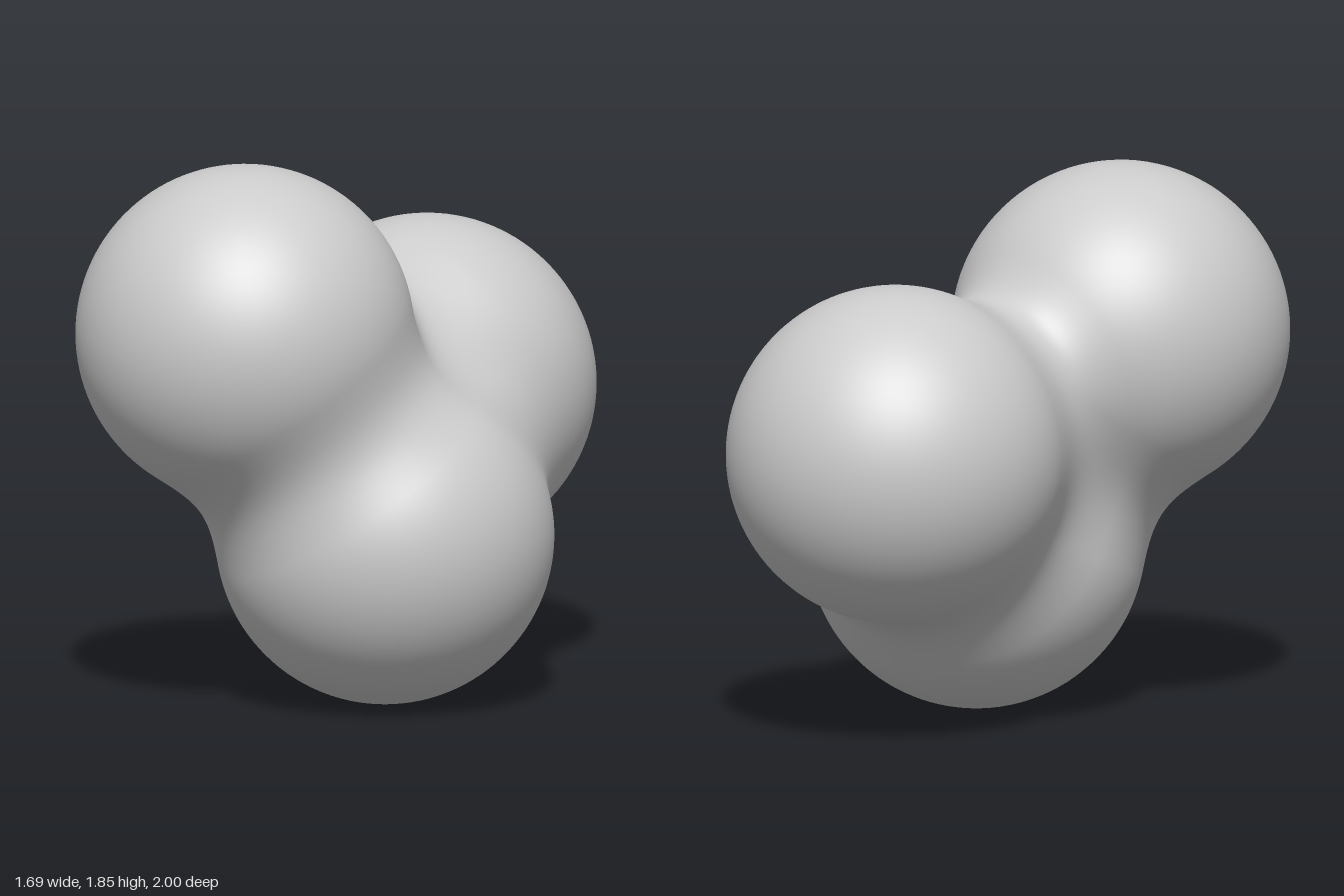
import * as THREE from 'three';

// Three equal balls melted into one smooth body
const RADIUS = 0.57;
const BLEND = 0.26;
const BALLS = [
  new THREE.Vector3(-0.28, 1.28, 0.43), // upper front
  new THREE.Vector3(0.18, 0.57, 0.27), // lower
  new THREE.Vector3(0.27, 0.97, -0.43), // rear
];
const CORE = new THREE.Vector3(0.04, 0.98, 0.06);

// Smooth minimum: rounds the seam where two balls meet
function smoothMin(a, b) {
  const h = Math.max(BLEND - Math.abs(a - b), 0) / BLEND;
  return Math.min(a, b) - h * h * BLEND / 4;
}

// Signed distance to the blended surface
function distance(p) {
  return BALLS.map((c) => p.distanceTo(c) - RADIUS).reduce(smoothMin);
}

// Surface normal from the slope of the distance field
function normalAt(p) {
  const e = 0.004;
  const n = new THREE.Vector3();
  for (const axis of ['x', 'y', 'z']) {
    const a = p.clone();
    const b = p.clone();
    a[axis] += e;
    b[axis] -= e;
    n[axis] = distance(a) - distance(b);
  }
  return n.normalize();
}

// Shrink-wrap a fine icosphere onto the blended surface
function blobGeometry() {
  const geometry = new THREE.IcosahedronGeometry(1, 36);
  const position = geometry.attributes.position;
  const normal = geometry.attributes.normal;
  const dir = new THREE.Vector3();
  const p = new THREE.Vector3();
  for (let i = 0; i < position.count; i++) {
    dir.fromBufferAttribute(position, i).normalize();
    let t = 1.6;
    for (let step = 0; step < 80; step++) {
      const d = distance(p.copy(CORE).addScaledVector(dir, t));
      if (d < 0.0003) break;
      t -= d;
    }
    position.setXYZ(i, p.x, p.y, p.z);
    const n = normalAt(p);
    normal.setXYZ(i, n.x, n.y, n.z);
  }
  return geometry;
}

export function createModel() {
  const group = new THREE.Group();
  group.name = 'blob';
  const body = new THREE.Mesh(
    blobGeometry(),
    new THREE.MeshStandardMaterial({ color: 0xcccccc }),
  );
  body.name = 'mergedBalls';
  group.add(body);
  return group;
}
